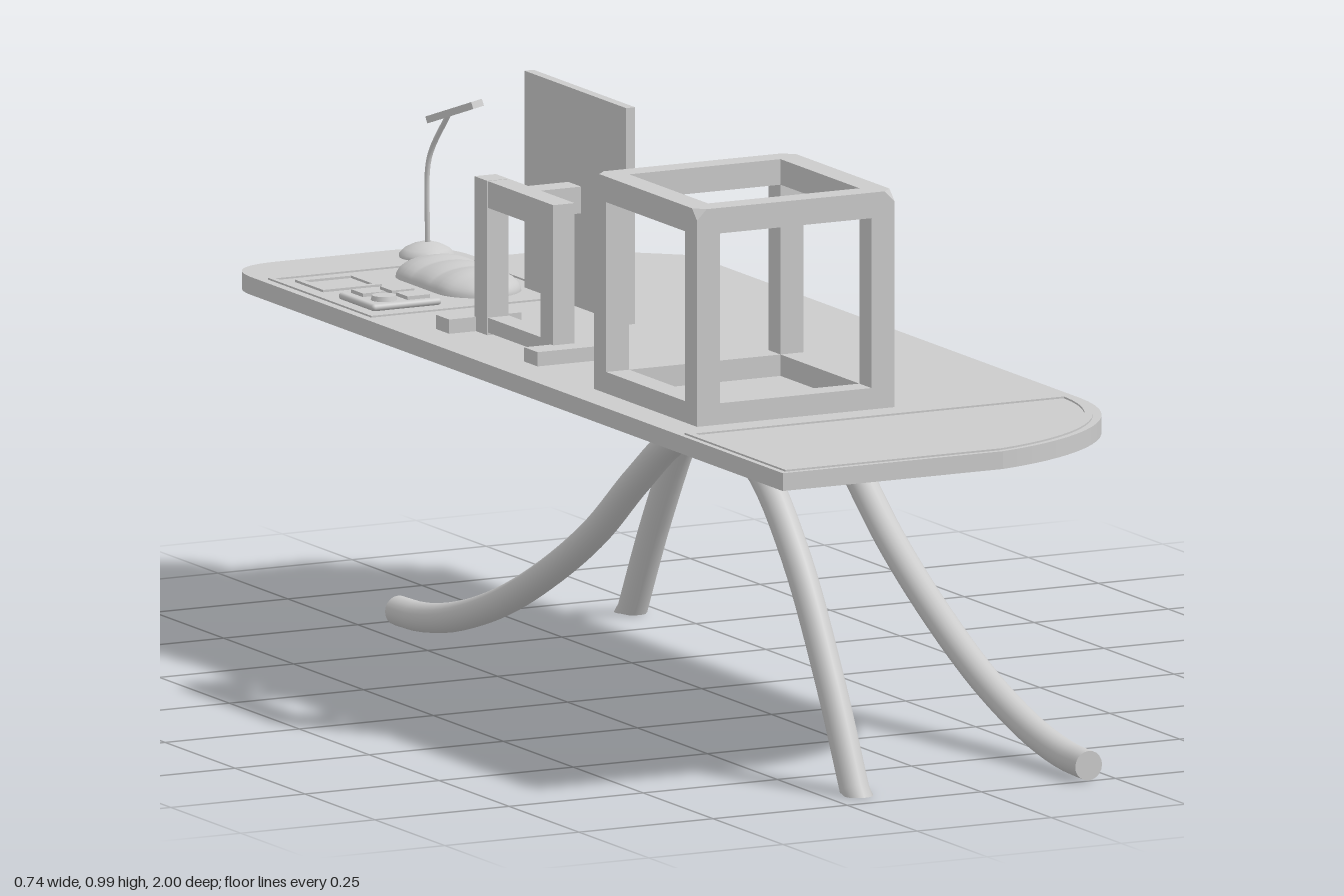
import * as THREE from 'three';
import { ConvexGeometry } from 'three/addons/geometries/ConvexGeometry.js';
import { RoundedBoxGeometry } from 'three/addons/geometries/RoundedBoxGeometry.js';

const material = new THREE.MeshStandardMaterial({ color: 0xcccccc });
const TOP = 0.57; // height of the work surface

function add(parent, name, geometry, x = 0, y = 0, z = 0) {
  const mesh = new THREE.Mesh(geometry, material);
  mesh.name = name;
  mesh.position.set(x, y, z);
  parent.add(mesh);
  return mesh;
}

// Box given by its minimum and maximum on each axis
function span(parent, name, x0, x1, y0, y1, z0, z1) {
  return add(parent, name, new THREE.BoxGeometry(x1 - x0, y1 - y0, z1 - z0),
    (x0 + x1) / 2, (y0 + y1) / 2, (z0 + z1) / 2);
}

function group(parent, name) {
  const g = new THREE.Group();
  g.name = name;
  parent.add(g);
  return g;
}

// Plan shapes are drawn in (x, -z) and extruded upwards
function slab(shape, height) {
  return new THREE.ExtrudeGeometry(shape, { depth: height, bevelEnabled: false, curveSegments: 16 })
    .rotateX(-Math.PI / 2);
}

function tableTop(parent) {
  const s = new THREE.Shape();
  s.moveTo(-0.37, -1);
  s.lineTo(0.04, -1);
  s.bezierCurveTo(0.21, -0.965, 0.365, -0.84, 0.365, -0.65);
  s.lineTo(0.365, 0.73);
  s.lineTo(0.2, 0.875);
  s.lineTo(0.06, 0.875);
  s.quadraticCurveTo(0.04, 0.875, 0.04, 0.9);
  s.quadraticCurveTo(0.04, 1, -0.06, 1);
  s.lineTo(-0.27, 1);
  s.quadraticCurveTo(-0.37, 1, -0.37, 0.9);
  s.closePath();
  add(parent, 'tableTop', slab(s, 0.03), 0, TOP - 0.03, 0);
}

// Thin raised borders around the front panel and the back tray
function borders(parent) {
  const front = new THREE.Shape();
  front.moveTo(-0.36, -0.99);
  front.lineTo(0.04, -0.99);
  front.bezierCurveTo(0.2, -0.955, 0.352, -0.84, 0.354, -0.63);
  front.lineTo(-0.36, -0.63);
  front.closePath();
  const hole = new THREE.Path();
  hole.moveTo(-0.347, -0.977);
  hole.lineTo(0.04, -0.977);
  hole.bezierCurveTo(0.19, -0.943, 0.335, -0.83, 0.34, -0.643);
  hole.lineTo(-0.347, -0.643);
  hole.closePath();
  front.holes.push(hole);
  add(parent, 'frontBorder', slab(front, 0.003), 0, TOP, 0);
  add(parent, 'trayBorder', slab(rectFrame(0.38, 0.37, 0.01), 0.003), -0.165, TOP, -0.685);
  add(parent, 'notePad', slab(rectFrame(0.11, 0.1, 0.012), 0.004), -0.27, TOP, -0.78);
}

function rectFrame(w, d, t) {
  const rect = (target, a, b) => target.setFromPoints([[-a, -b], [a, -b], [a, b], [-a, b]]
    .map(([x, y]) => new THREE.Vector2(x, y)));
  const s = rect(new THREE.Shape(), w / 2, d / 2);
  s.holes.push(rect(new THREE.Path(), w / 2 - t, d / 2 - t));
  return s;
}

// Two bent tubes, the second mirrored along the table
function legs(parent) {
  const profile = [[1, 0.026], [0.92, 0.029], [0.8, 0.05], [0.63, 0.105], [0.45, 0.19], [0.29, 0.285],
    [0.145, 0.395], [0.0, 0.49], [-0.15, 0.528], [-0.29, 0.49], [-0.42, 0.365], [-0.54, 0.18], [-0.645, -0.02]];
  for (const [name, x, flip] of [['leftLeg', 0.2, false], ['rightLeg', -0.195, true]]) {
    const pts = profile.map(([z, y]) => new THREE.Vector3(x, y, flip ? 0.29 - z : z));
    const geo = new THREE.TubeGeometry(new THREE.CatmullRomCurve3(pts), 64, 0.025, 20);
    const p = geo.attributes.position;
    for (let i = 0; i < p.count; i++) p.setY(i, Math.max(0, p.getY(i)));
    add(parent, name, geo);
    const cap = add(parent, name + 'End', new THREE.CircleGeometry(0.025, 20), x, 0.026, flip ? -0.71 : 1);
    if (flip) cap.rotation.y = Math.PI;
    const sole = add(parent, name + 'Sole', new THREE.CircleGeometry(0.025, 20), x, 0, flip ? 0.925 : -0.635);
    sole.rotation.x = Math.PI / 2;
  }
}

// Open cube of square bars with cut top corners
function cubeFrame(parent) {
  const g = group(parent, 'cubeFrame');
  g.position.set(-0.1275, TOP, 0.397);
  const h = 0.184, t = 0.043, H = 0.365, c = H - t;
  for (const s of [-1, 1]) {
    const [a, b] = s < 0 ? [-h, -h + t] : [h - t, h];
    for (const [y0, y1] of [[0, 0.036], [c, H]]) {
      span(g, 'crossBar', -h + t, h - t, y0, y1, a, b);
      span(g, 'sideBar', a, b, y0, y1, -h + t, h - t);
    }
    for (const r of [-1, 1]) {
      const [d, e] = r < 0 ? [-h, -h + t] : [h - t, h];
      span(g, 'post', a, b, 0, c, d, e);
      const pts = [];
      const k = t - 0.018;
      for (const [x, y, z] of [[0, 0, 0], [t, 0, 0], [0, t, 0], [0, 0, t], [t, t, 0], [t, 0, t], [0, t, t],
        [k, t, t], [t, k, t], [t, t, k]])
        pts.push(new THREE.Vector3(s * (h - t + x), c + y, r * (h - t + z)));
      add(g, 'corner', new ConvexGeometry(pts));
    }
  }
}

function monitor(parent) {
  const g = group(parent, 'monitor');
  span(g, 'screen', -0.14, -0.123, 0.625, 0.99, -0.365, -0.002);
  span(g, 'arm', -0.215, -0.14, 0.785, 0.83, -0.208, -0.162);
  span(g, 'standTop', -0.255, -0.215, 0.785, 0.83, -0.275, -0.085);
  span(g, 'standBottom', -0.255, -0.215, 0.575, 0.6, -0.275, -0.085);
  for (const s of [-1, 1]) {
    const z = -0.1825 + s * 0.118;
    span(g, 'standPost', -0.255, -0.215, TOP, 0.83, z - 0.023, z + 0.023);
    const f = -0.1835 + s * 0.158;
    span(g, 'standFoot', -0.305, -0.17, TOP, 0.594, f - 0.024, f + 0.024);
  }
}

function lamp(parent) {
  const g = group(parent, 'lamp');
  const dome = [[0.046, 0], [0.046, 0.006], [0.038, 0.014], [0.024, 0.021], [0.01, 0.025], [0, 0.026]]
    .map(([x, y]) => new THREE.Vector2(x, y));
  add(g, 'lampBase', new THREE.LatheGeometry(dome, 24), -0.03, TOP, -0.925);
  const pts = [[-0.03, 0.585, -0.922], [-0.03, 0.72, -0.922], [-0.026, 0.752, -0.915], [-0.012, 0.817, -0.88]]
    .map((p) => new THREE.Vector3(...p));
  add(g, 'lampStem', new THREE.TubeGeometry(new THREE.CatmullRomCurve3(pts), 24, 0.0045, 8));
  const head = add(g, 'lampHead', new THREE.BoxGeometry(0.034, 0.012, 0.095), -0.009, 0.823, -0.866);
  head.lookAt(-0.009 + 0.048, 0.823 + 0.035, -0.866 + 0.08);
}

// Low loaf with shallow scallops along its length
function loaf(parent) {
  const geo = new THREE.CapsuleGeometry(0.074, 0.13, 12, 32, 32).rotateX(Math.PI / 2);
  const p = geo.attributes.position;
  for (let i = 0; i < p.count; i++) {
    const ridge = 0.9 + 0.1 * Math.abs(Math.cos((p.getZ(i) / 0.065) * Math.PI));
    p.setY(i, Math.max(0, p.getY(i)) * 0.5 * ridge);
  }
  geo.computeVertexNormals();
  add(parent, 'loaf', geo, -0.09, TOP, -0.697);
}

function keypad(parent) {
  const g = group(parent, 'keypad');
  g.position.set(-0.266, TOP, -0.604);
  add(g, 'keypadBase', new RoundedBoxGeometry(0.13, 0.012, 0.126, 3, 0.006), 0, 0.006, 0);
  for (const x of [-0.027, 0.027])
    for (const z of [-0.026, 0.03]) {
      if (x < 0 && z > 0) add(g, 'knob', new THREE.CylinderGeometry(0.02, 0.022, 0.008, 16), x, 0.016, z);
      else add(g, 'key', new THREE.BoxGeometry(0.042, 0.006, 0.042), x, 0.015, z);
    }
}

export function createModel() {
  const model = new THREE.Group();
  model.name = 'desk';
  for (const part of [tableTop, borders, legs, cubeFrame, monitor, lamp, loaf, keypad]) part(model);
  return model;
}
